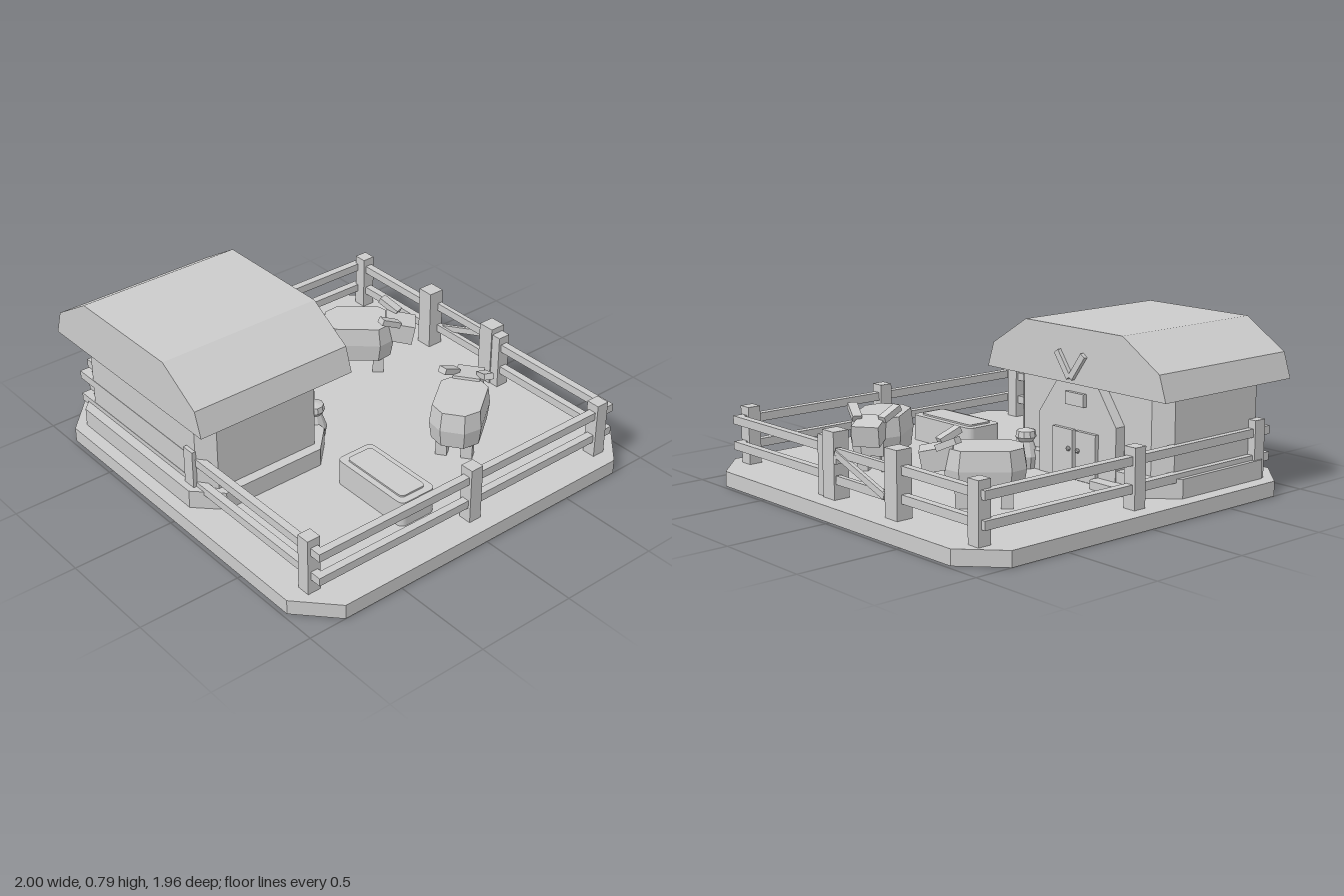
import * as THREE from 'three';

const stone = new THREE.MeshStandardMaterial({ color: 0xcccccc, flatShading: true });
stone.name = 'pale grey';

function add(parent, name, geometry, x = 0, y = 0, z = 0) {
  const mesh = new THREE.Mesh(geometry, stone);
  mesh.name = name;
  mesh.position.set(x, y, z);
  parent.add(mesh);
  return mesh;
}

// Box given by its limits on each axis
function block(parent, name, x0, x1, y0, y1, z0, z1) {
  return add(parent, name, new THREE.BoxGeometry(x1 - x0, y1 - y0, z1 - z0),
    (x0 + x1) / 2, (y0 + y1) / 2, (z0 + z1) / 2);
}

function polygon(points) {
  return new THREE.Shape(points.map(([x, y]) => new THREE.Vector2(x, y)));
}

function extrude(shape, depth, steps = 1) {
  return new THREE.ExtrudeGeometry(shape, { depth, steps, bevelEnabled: false, curveSegments: 4 });
}

// Rectangle in plan with cut corners
function octagon(w, d, cx, cz = cx) {
  const a = w / 2, b = d / 2;
  return polygon([[-a + cx, -b], [a - cx, -b], [a, -b + cz], [a, b - cz],
    [a - cx, b], [-a + cx, b], [-a, b - cz], [-a, -b + cz]]);
}

// Plan shape raised upwards
function slab(shape, height, steps) {
  return extrude(shape, height, steps).rotateX(-Math.PI / 2);
}

function roundedRect(w, d, r) {
  const a = w / 2, b = d / 2, s = new THREE.Shape();
  s.moveTo(-a + r, -b).lineTo(a - r, -b);
  s.absarc(a - r, -b + r, r, -Math.PI / 2, 0);
  s.absarc(a - r, b - r, r, 0, Math.PI / 2);
  s.absarc(-a + r, b - r, r, Math.PI / 2, Math.PI);
  s.absarc(-a + r, -b + r, r, Math.PI, Math.PI * 1.5);
  return s;
}

// Hollow platform, open underneath
function buildBase() {
  const base = new THREE.Group();
  base.name = 'base';
  add(base, 'ground', slab(octagon(2, 1.96, 0.18, 0.17), 0.004), 0, 0.068, 0);
  const rim = octagon(2, 1.96, 0.18, 0.17);
  rim.holes.push(octagon(1.992, 1.952, 0.178, 0.168));
  add(base, 'groundRim', slab(rim, 0.068));
  return base;
}

function buildHouse() {
  const house = new THREE.Group();
  house.name = 'house';
  const cx = -0.385;
  add(house, 'plinth', slab(octagon(1.09, 0.775, 0.12), 0.097), cx, 0.065, 0.5325);
  add(house, 'walls', slab(octagon(0.99, 0.675, 0.08, 0.065), 0.42), cx, 0.12, 0.5325);
  add(house, 'roof', extrude(polygon([[-0.965, 0.53], [0.19, 0.53], [0.15, 0.65],
    [-0.075, 0.79], [-0.7, 0.79], [-0.925, 0.65]]), 0.835), 0, 0, 0.105);

  // Entrance faces the yard, towards -z
  add(house, 'doorSurround', extrude(polygon([[-0.25, 0.07], [0.25, 0.07], [0.25, 0.36],
    [0.13, 0.53], [-0.13, 0.53], [-0.25, 0.36]]), 0.07), cx, 0, 0.14);
  for (const s of [-1, 1]) {
    block(house, 'door', cx + s * 0.075 - 0.065, cx + s * 0.075 + 0.065, 0.08, 0.31, 0.12, 0.16);
    add(house, 'doorKnob', new THREE.IcosahedronGeometry(0.013, 0), cx + s * 0.03, 0.22, 0.115);
    // Crossed bars on the gable
    const bar = add(house, 'gableHorn', new THREE.BoxGeometry(0.03, 0.14, 0.025), cx + s * 0.045, 0.615, 0.098);
    bar.rotation.z = -s * 0.62;
  }
  block(house, 'plaque', cx - 0.06, cx + 0.06, 0.425, 0.485, 0.12, 0.15);
  add(house, 'step', slab(roundedRect(0.21, 0.14, 0.03), 0.04), -0.625, 0.07, 0.145);

  const profile = [[0, 0.07], [0.05, 0.07], [0.06, 0.13], [0.035, 0.2], [0.05, 0.22], [0.045, 0.25], [0, 0.265]];
  add(house, 'pot', new THREE.LatheGeometry(profile.map(([x, y]) => new THREE.Vector2(x, y)), 10), -0.047, 0, 0.135);
  return house;
}

function buildFence() {
  const fence = new THREE.Group();
  fence.name = 'fence';
  const posts = [[-0.855, -0.857], [0.168, -0.857], [0.885, -0.79], [0.885, 0], [0.815, 0.855],
    [0, 0.855], [-0.888, 0.79], [-0.89, 0]];
  for (const [x, z] of posts) {
    block(fence, 'fencePost', x - 0.033, x + 0.033, 0.05, 0.35, z - 0.033, z + 0.033);
  }
  for (const y of [0.145, 0.27]) {
    const t = y + 0.04;
    block(fence, 'frontRail', -0.91, 0.905, y, t, 0.835, 0.872);
    block(fence, 'leftRail', 0.867, 0.905, y, t, -0.875, 0.872);
    block(fence, 'rightRail', -0.91, -0.87, y, t, -0.875, 0.872);
    block(fence, 'backRail', -0.91, -0.34, y, t, -0.875, -0.838);
    block(fence, 'backRail', 0.12, 0.905, y, t, -0.875, -0.838);
    block(fence, 'gateRail', -0.3, 0.06, y, t, -0.895, -0.87);
  }
  for (const x of [-0.335, 0.11]) block(fence, 'gatePost', x - 0.042, x + 0.042, 0.05, 0.38, -0.9, -0.818);
  const brace = add(fence, 'gateBrace', new THREE.BoxGeometry(0.37, 0.03, 0.02), -0.115, 0.225, -0.893);
  brace.rotation.z = 0.34;
  block(fence, 'gateLatch', 0.045, 0.065, 0.24, 0.28, -0.905, -0.88);
  return fence;
}

function buildAnimal(x, z, dx, dz) {
  const animal = new THREE.Group();
  animal.name = 'animal';
  animal.position.set(x, 0, z);
  animal.rotation.y = Math.atan2(dx, dz);

  // Body is widest at the middle ring
  const body = slab(octagon(0.245, 0.36, 0.065), 0.18, 2);
  const p = body.attributes.position;
  for (let i = 0; i < p.count; i++) {
    const k = Math.abs(p.getY(i) - 0.09) > 0.01 ? 0.92 : 1;
    p.setXYZ(i, p.getX(i) * k, p.getY(i), p.getZ(i) * k);
  }
  body.computeVertexNormals();
  add(animal, 'body', body, 0, 0.155, -0.01);

  const head = add(animal, 'head', new THREE.BoxGeometry(0.13, 0.1, 0.15), 0, 0.285, 0.195);
  head.rotation.x = 0.18;
  for (const s of [-1, 1]) {
    // Ears sweep back, outwards and up
    const ear = add(animal, 'ear', new THREE.BoxGeometry(0.045, 0.03, 0.11), s * 0.085, 0.362, 0.15);
    ear.rotation.set(-0.42, s * 2.6, 0, 'YXZ');
    for (const lz of [-0.105, 0.095]) {
      block(animal, 'leg', s * 0.06 - 0.027, s * 0.06 + 0.027, 0.06, 0.17, lz - 0.027, lz + 0.027);
    }
  }
  return animal;
}

function buildTrough() {
  const trough = new THREE.Group();
  trough.name = 'trough';
  add(trough, 'troughBody', slab(roundedRect(0.445, 0.2, 0.03), 0.135), 0.532, 0.065, 0.19);
  add(trough, 'troughFill', slab(roundedRect(0.375, 0.14, 0.02), 0.008), 0.532, 0.2, 0.19);
  return trough;
}

export function createModel() {
  const model = new THREE.Group();
  model.name = 'farmyard';
  model.add(buildBase(), buildHouse(), buildFence(), buildTrough());
  model.add(buildAnimal(-0.405, -0.445, 0.66, -0.75));
  model.add(buildAnimal(0.425, -0.36, -0.59, -0.81));
  return model;
}
